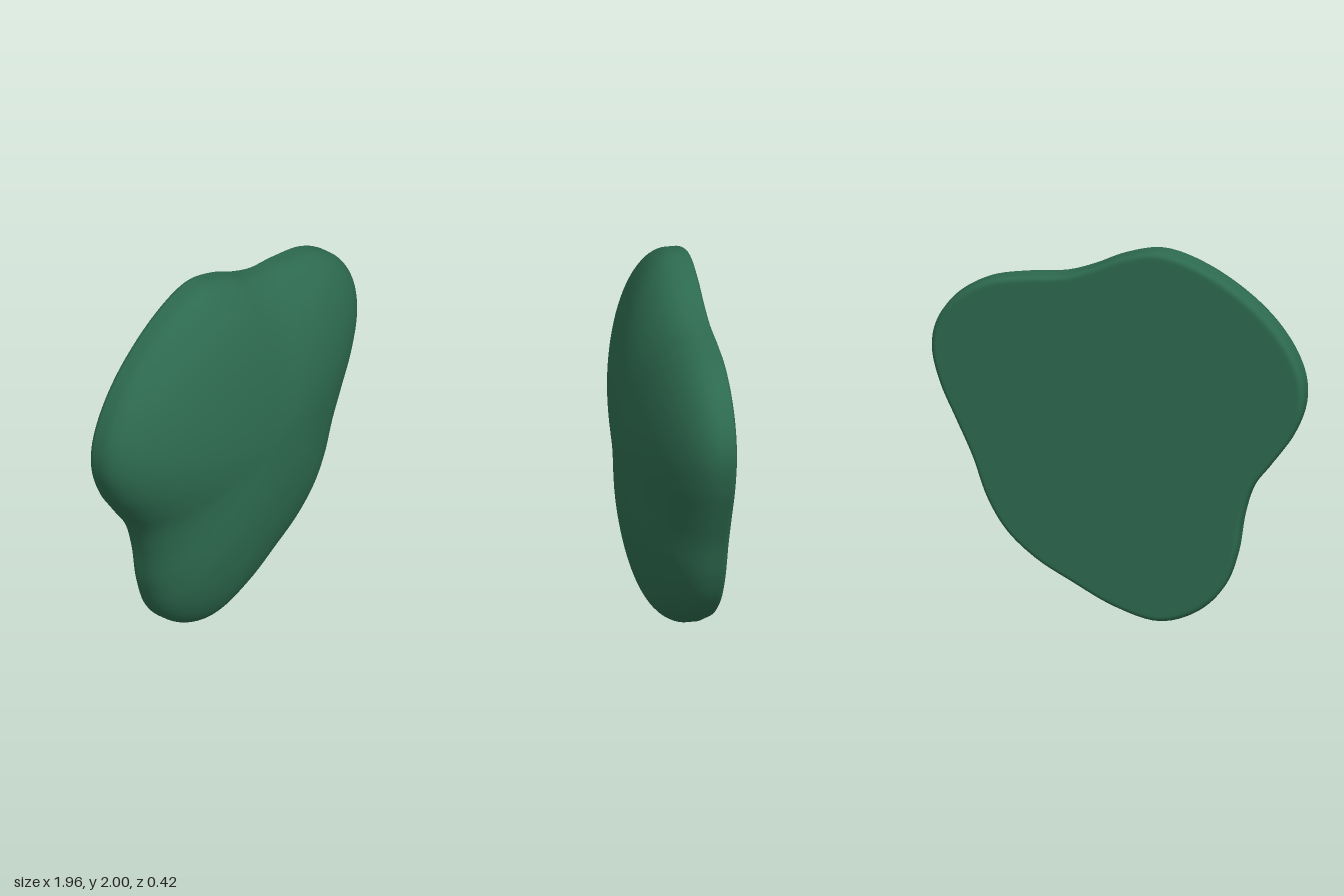
import * as THREE from 'three';

// Outline of the pebble, clockwise from the top lobe
const OUTLINE = [
  [-0.22, 2.0], [-0.02, 1.955], [0.14, 1.88], [0.29, 1.827], [0.485, 1.802], [0.695, 1.755],
  [0.865, 1.645], [0.955, 1.51], [0.978, 1.365], [0.935, 1.18], [0.855, 1.0], [0.765, 0.8],
  [0.685, 0.577], [0.585, 0.413], [0.43, 0.275], [0.245, 0.17], [0.01, 0.053], [-0.22, 0.0],
  [-0.415, 0.07], [-0.55, 0.206], [-0.617, 0.386], [-0.653, 0.6], [-0.706, 0.767],
  [-0.812, 0.915], [-0.913, 1.063], [-0.976, 1.233], [-0.971, 1.39], [-0.89, 1.57],
  [-0.733, 1.75], [-0.468, 1.926],
];
const CENTER = [0, 1.04];
const FRONT = 0.21, RIM = -0.13, BACK = -0.21, BEVEL = 0.03;
const SEGMENTS = 180, DOME_STEPS = 32, BEVEL_STEPS = 5;

// Rings as [scale towards the centre, z]: dome, straight rim, rounded back edge, flat back
function ringProfile() {
  const rings = [];
  for (let i = 1; i <= DOME_STEPS; i++) {
    const a = (i / DOME_STEPS) * Math.PI / 2;
    rings.push([Math.sin(a), RIM + (FRONT - RIM) * Math.cos(a)]);
  }
  for (let i = 0; i <= BEVEL_STEPS; i++) {
    const a = (i / BEVEL_STEPS) * Math.PI / 2;
    rings.push([1 - BEVEL * (1 - Math.cos(a)), BACK + BEVEL * (1 - Math.sin(a))]);
  }
  rings.push([0.955, BACK]);
  return rings;
}

function pebbleGeometry() {
  const curve = new THREE.CatmullRomCurve3(
    OUTLINE.map(([x, y]) => new THREE.Vector3(x, y, 0)), true, 'centripetal');
  const edge = curve.getPoints(SEGMENTS).slice(0, SEGMENTS);
  const rings = ringProfile();

  const positions = [CENTER[0], CENTER[1], FRONT];
  for (const [s, z] of rings) {
    for (const p of edge) {
      positions.push(CENTER[0] + (p.x - CENTER[0]) * s, CENTER[1] + (p.y - CENTER[1]) * s, z);
    }
  }
  positions.push(CENTER[0], CENTER[1], BACK);

  const index = [];
  const last = rings.length - 1;
  const backPole = 1 + rings.length * SEGMENTS;
  const at = (i, j) => 1 + i * SEGMENTS + (j % SEGMENTS);
  for (let j = 0; j < SEGMENTS; j++) {
    index.push(0, at(0, j + 1), at(0, j));
    for (let i = 0; i < last; i++) {
      index.push(at(i, j), at(i + 1, j + 1), at(i + 1, j));
      index.push(at(i, j), at(i, j + 1), at(i + 1, j + 1));
    }
    index.push(backPole, at(last, j), at(last, j + 1));
  }

  const geometry = new THREE.BufferGeometry();
  geometry.setAttribute('position', new THREE.Float32BufferAttribute(positions, 3));
  geometry.setIndex(index);
  geometry.computeVertexNormals();
  return geometry;
}

export function createModel() {
  const group = new THREE.Group();
  group.name = 'pebble';
  const material = new THREE.MeshStandardMaterial({ color: 0x2d6a4f });
  const body = new THREE.Mesh(pebbleGeometry(), material);
  body.name = 'pebbleBody';
  group.add(body);
  return group;
}
